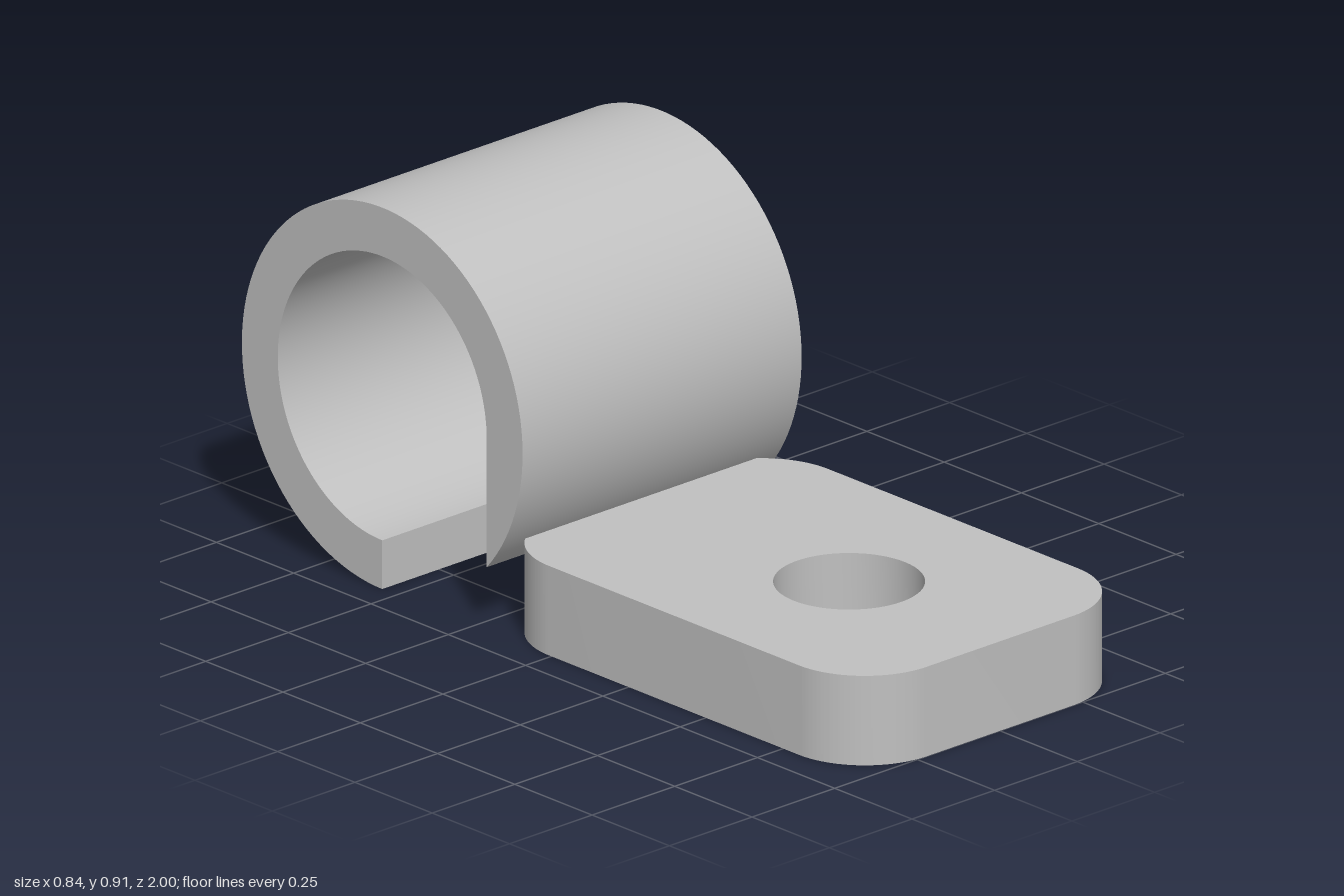
import * as THREE from 'three';
import { toCreasedNormals } from 'three/addons/utils/BufferGeometryUtils.js';

const HALF_W = 0.422;

function extrude(shape, depth) {
  const geo = new THREE.ExtrudeGeometry(shape, { depth, bevelEnabled: false, curveSegments: 48 });
  return toCreasedNormals(geo, 0.5);
}

export function createModel() {
  const group = new THREE.Group();
  const metal = new THREE.MeshStandardMaterial({ color: 0xc0c0c0 });
  metal.name = 'grey metal';

  // Mounting plate: rounded rectangle with a screw hole, drawn in x / -z
  const w = HALF_W, front = -1, back = 0.208, r = 0.2;
  const plate = new THREE.Shape();
  plate.absarc(w - r, front + r, r, -Math.PI / 2, 0);
  plate.absarc(w - r, back - r, r, 0, Math.PI / 2);
  plate.absarc(-w + r, back - r, r, Math.PI / 2, Math.PI);
  plate.absarc(-w + r, front + r, r, Math.PI, Math.PI * 1.5);
  plate.closePath();
  plate.holes.push(new THREE.Path().absarc(0, -0.512, 0.168, 0, Math.PI * 2, true));
  const plateMesh = new THREE.Mesh(extrude(plate, 0.213).rotateX(-Math.PI / 2), metal);
  plateMesh.name = 'mountingPlate';

  // Open clamp loop, drawn in -z / y; its inner wall drops straight to a pointed lip
  const cs = 0.547, cy = 0.454, outer = 0.454, inner = 0.338;
  const lip = Math.PI + Math.acos(inner / outer);
  const loop = new THREE.Shape();
  loop.absarc(cs, cy, outer, -Math.PI / 2, lip);
  loop.lineTo(cs - inner, cy);
  loop.absarc(cs, cy, inner, Math.PI, -Math.PI / 2, true);
  loop.closePath();
  const loopGeo = extrude(loop, 2 * HALF_W).rotateY(Math.PI / 2).translate(-HALF_W, 0, 0);
  const loopMesh = new THREE.Mesh(loopGeo, metal);
  loopMesh.name = 'clampLoop';

  group.add(plateMesh, loopMesh);
  return group;
}
